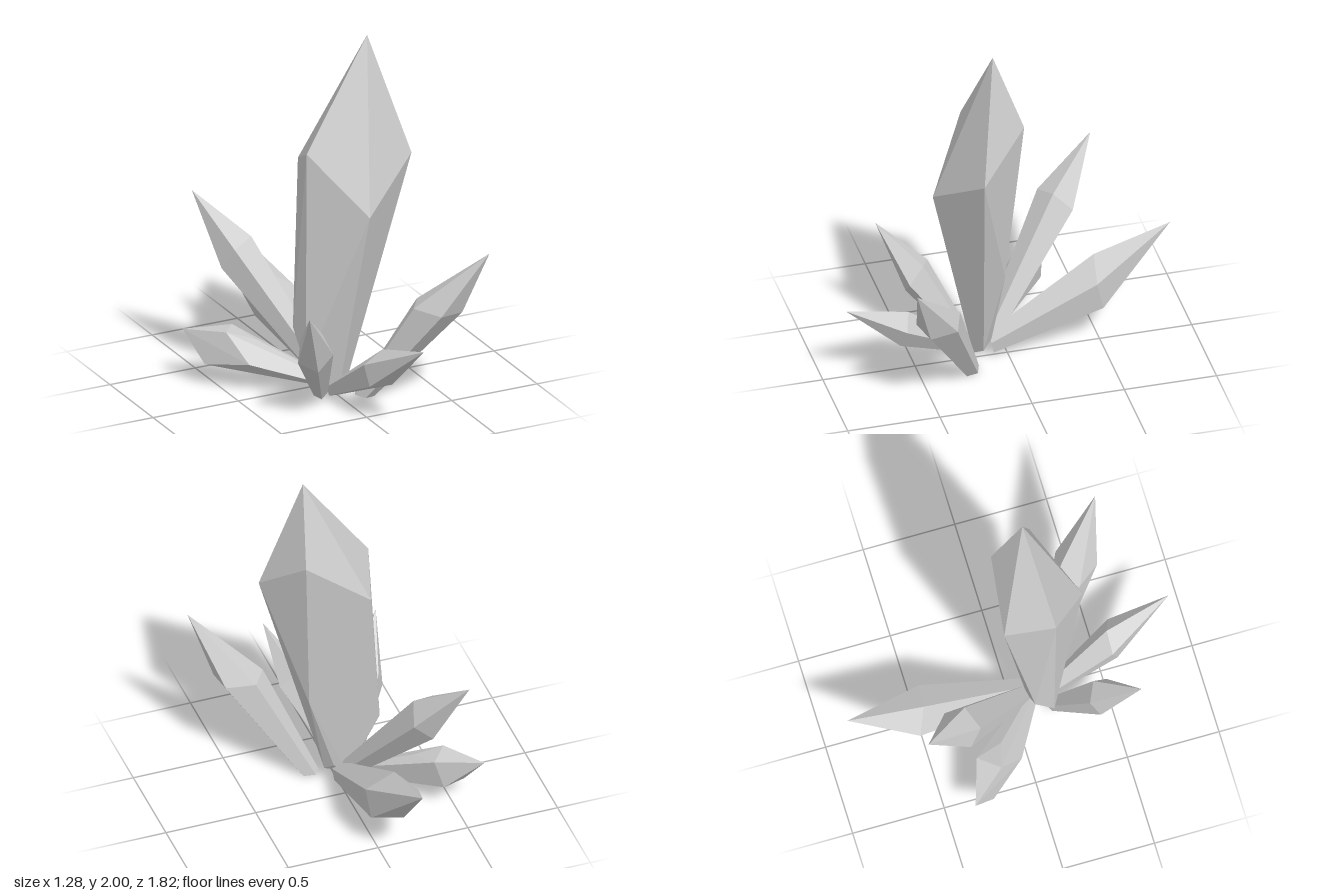
import * as THREE from 'three';
import { ConvexGeometry } from 'three/addons/geometries/ConvexGeometry.js';

const material = new THREE.MeshStandardMaterial({ color: 0xcccccc, flatShading: true });
const vec = p => new THREE.Vector3(...p);

// A faceted shard: a tip, a ring of shoulders, optional kinks along the shaft,
// and a foot that repeats the shoulder ring at a smaller size.
function crystal(name, tip, foot, shoulders, footScale, kinks = []) {
  const centre = new THREE.Vector3();
  shoulders.forEach(p => centre.addScaledVector(p, 1 / shoulders.length));
  const footRing = shoulders.map(p => {
    const q = p.clone().sub(centre).multiplyScalar(footScale).add(foot);
    q.y = Math.max(q.y, 0);
    return q;
  });
  const mesh = new THREE.Mesh(new ConvexGeometry([tip, ...shoulders, ...kinks, ...footRing]), material);
  mesh.name = name;
  return mesh;
}

// Five shoulders around the axis from foot to tip. "at" is the fraction along
// the axis, "spin" turns the ring (degrees), "lift" shifts it upwards, and
// "slant" slides its corners along the axis (sideways part, upward part).
function pentagon(tip, foot, { at, radius, spin, lift = 0, slant = [0, 0] }) {
  const axis = tip.clone().sub(foot).normalize();
  const side = new THREE.Vector3(0, 1, 0).cross(axis).normalize();
  const up = axis.clone().cross(side);
  return Array.from({ length: 5 }, (_, i) => {
    const a = THREE.MathUtils.degToRad(spin + 72 * i);
    const c = Math.cos(a), s = Math.sin(a);
    return foot.clone().lerp(tip, at)
      .addScaledVector(side, radius * c)
      .addScaledVector(up, radius * s + lift)
      .addScaledVector(axis, slant[0] * c + slant[1] * s);
  });
}

// Small crystals fanning out around the main one
const smallCrystals = [
  { name: 'backRightTallCrystal', tip: [-0.48, 0.98, -0.58], foot: [-0.04, 0.1, 0.08],
    at: 0.655, radius: 0.118, spin: 36, slant: [0, 0.03] },
  { name: 'backCrystal', tip: [-0.1, 0.6, -0.91], foot: [-0.01, 0.08, 0.08],
    at: 0.575, radius: 0.14, spin: 5, lift: -0.055, slant: [0.05, 0.04] },
  { name: 'frontLeftCrystal', tip: [0.64, 0.87, 0.66], foot: [0.12, 0.01, 0.23],
    at: 0.6, radius: 0.12, spin: -13, lift: 0.02, slant: [0, -0.07] },
  { name: 'frontCrystal', tip: [0.13, 0.5, 0.91], foot: [-0.04, 0.06, 0.2],
    at: 0.53, radius: 0.1, spin: 5, slant: [0.04, 0.03] },
  { name: 'frontRightCrystal', tip: [-0.39, 0.67, 0.61], foot: [-0.12, 0.06, 0.2],
    at: 0.54, radius: 0.1, spin: -3, slant: [0, 0.04] },
];

export function createModel() {
  const group = new THREE.Group();
  group.name = 'crystalCluster';

  // Main crystal, with uneven shoulders and a shaft that stays wide low down
  const shoulders = [
    [-0.2, 1.42, 0.2], [0.06, 1.09, 0.42], [0.4, 1.33, 0.23], [0.23, 1.56, -0.03], [-0.12, 1.29, -0.06],
  ].map(vec);
  const kinks = [[-0.2, 0.2, 0.19], [-0.22, 0.4, 0.08], [0.18, 0.6, 0.06]].map(vec);
  group.add(crystal('mainCrystal', vec([0.19, 2, 0.13]), vec([0, 0.08, 0.13]), shoulders, 0.2, kinks));

  // Low crystal with a lopsided end
  const lowShoulders = [
    [-0.57, 0.13, -0.25], [-0.48, 0.32, -0.18], [-0.41, 0.17, -0.05],
    [-0.39, 0.31, -0.29], [-0.33, 0.27, -0.14], [-0.44, 0.14, -0.3],
  ].map(vec);
  group.add(crystal('backRightLowCrystal', vec([-0.64, 0.3, -0.37]), vec([-0.06, 0.08, 0.1]), lowShoulders, 0.3));

  for (const spec of smallCrystals) {
    const tip = vec(spec.tip), foot = vec(spec.foot);
    group.add(crystal(spec.name, tip, foot, pentagon(tip, foot, spec), 0.4));
  }
  return group;
}
